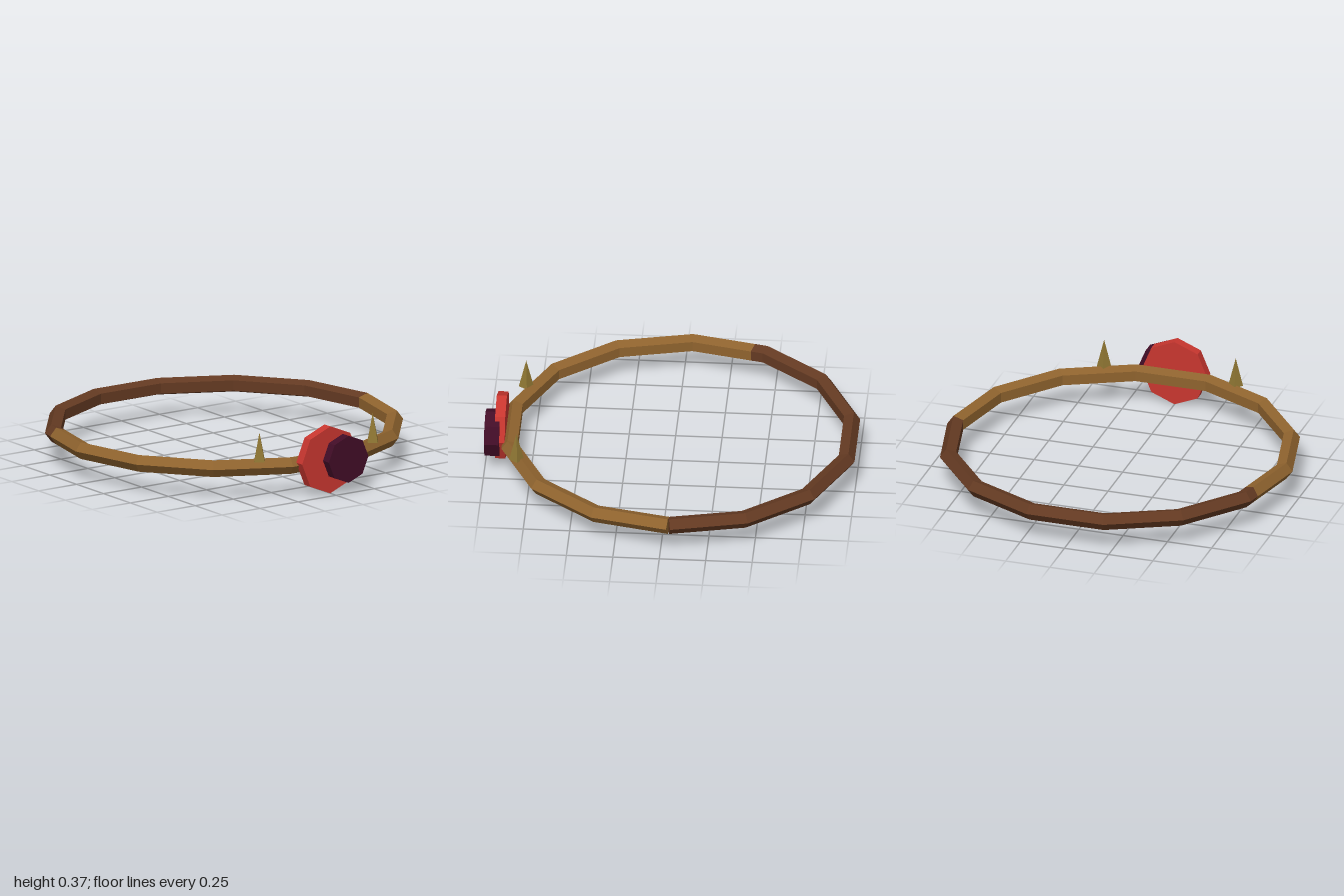
import * as THREE from 'three';

const SIDES = 14, TUBE_SIDES = 5, R = 0.9265, r = 0.0485;
const CENTRE = new THREE.Vector3(0, 0.172, -0.045);
const STEP = (Math.PI * 2) / SIDES;

function material(name, color) {
  const m = new THREE.MeshStandardMaterial({ color, flatShading: true, side: THREE.DoubleSide });
  m.name = name;
  return m;
}

// Pentagonal cross-section at an angle round the hoop; tilt turns an end square to its segment
function section(angle, tilt = 0) {
  const out = new THREE.Vector3(Math.cos(angle + tilt), 0, Math.sin(angle + tilt));
  const middle = new THREE.Vector3(Math.cos(angle) * R, 0, Math.sin(angle) * R).add(CENTRE);
  return Array.from({ length: TUBE_SIDES }, (_, k) => {
    const a = (k / TUBE_SIDES) * Math.PI * 2;
    const p = middle.clone().addScaledVector(out, Math.cos(a) * r);
    p.y += Math.sin(a) * r;
    return p;
  });
}

// Skin a list of cross-sections and close both ends
function sweep(sections) {
  const pos = [];
  const tri = (...points) => points.forEach((p) => pos.push(p.x, p.y, p.z));
  for (let i = 0; i < sections.length - 1; i++) {
    for (let k = 0; k < TUBE_SIDES; k++) {
      const n = (k + 1) % TUBE_SIDES;
      const [a, b] = [sections[i], sections[i + 1]];
      tri(a[k], a[n], b[k]);
      tri(a[n], b[n], b[k]);
    }
  }
  const first = sections[0], last = sections[sections.length - 1];
  for (let k = 1; k < TUBE_SIDES - 1; k++) {
    tri(first[0], first[k + 1], first[k]);
    tri(last[0], last[k], last[k + 1]);
  }
  const g = new THREE.BufferGeometry();
  g.setAttribute('position', new THREE.Float32BufferAttribute(pos, 3));
  g.computeVertexNormals();
  return g;
}

export function createModel() {
  const group = new THREE.Group();
  const gold = material('gold brown', 0x8f632e);
  const brown = material('dark brown', 0x643a22);
  const red = material('red', 0xc8362f);
  const plum = material('dark plum', 0x420d27);
  const thornColor = material('olive gold', 0x8f7633);

  const add = (name, geometry, mat, x = 0, y = 0, z = 0) => {
    const mesh = new THREE.Mesh(geometry, mat);
    mesh.name = name;
    mesh.position.set(x, y, z);
    group.add(mesh);
    return mesh;
  };

  // Hoop: starts and ends at a small notch on +x, changing colour part-way along one segment
  const rings = Array.from({ length: SIDES + 1 }, (_, i) =>
    section(i * STEP, i === 0 ? STEP / 2 : i === SIDES ? -STEP / 2 : 0));
  const seam = rings[7].map((p, k) => p.clone().lerp(rings[8][k], 0.83));
  add('frontHoop', sweep([...rings.slice(0, 8), seam]), gold);
  add('backHoop', sweep([seam, ...rings.slice(8)]), brown);

  // Octagonal discs facing forward
  const disc = (radius, depth) => new THREE.CylinderGeometry(radius, radius, depth, 8).rotateX(Math.PI / 2);
  add('largeDisc', disc(0.185, 0.055), red, 0, 0.188, 0.918);
  add('smallDisc', disc(0.13, 0.08), plum, 0.082, 0.19, 0.96);

  // Thorns on the front of the hoop
  for (const [name, side] of [['leftThorn', 1], ['rightThorn', -1]]) {
    add(name, new THREE.ConeGeometry(0.04, 0.16, 4), thornColor, side * 0.372, 0.287, 0.813).rotation.y = 0.15;
  }
  return group;
}
